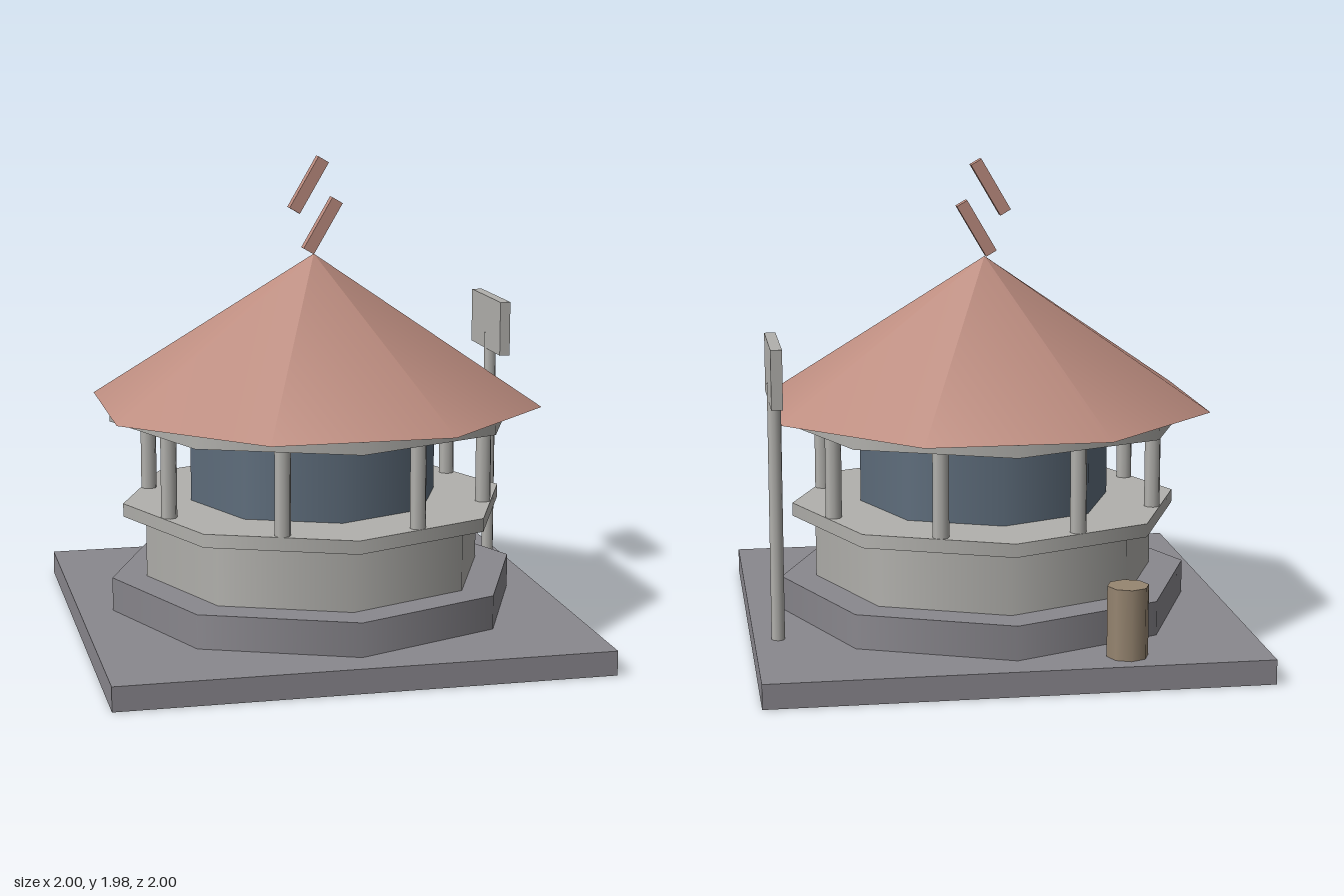
import * as THREE from 'three';

function mat(name, color) {
  const m = new THREE.MeshStandardMaterial({ color });
  m.name = name;
  return m;
}

export function createModel() {
  const root = new THREE.Group();
  root.name = 'pavilion';

  const paving = mat('paving grey', 0x8a888e);
  const stone = mat('pale stone', 0xb2b1ad);
  const glass = mat('blue grey glass', 0x5f6e7d);
  const tile = mat('terracotta', 0xbd8d80);
  const wood = mat('barrel brown', 0x978671);

  const add = (name, geometry, material, x, y, z, parent = root) => {
    const mesh = new THREE.Mesh(geometry, material);
    mesh.name = name;
    mesh.position.set(x, y, z);
    parent.add(mesh);
    return mesh;
  };
  // Eight-sided drum between two heights
  const drum = (name, r, y0, y1, material, x = 0, z = 0, parent = root) =>
    add(name, new THREE.CylinderGeometry(r, r, y1 - y0, 8), material, x, (y0 + y1) / 2, z, parent);

  // Stacked octagonal body on a square slab
  add('groundSlab', new THREE.BoxGeometry(2, 0.1, 2), paving, 0, 0.05, 0);
  drum('plinth', 0.86, 0.1, 0.24, paving);
  drum('lowerWall', 0.715, 0.24, 0.5, stone);
  drum('counter', 0.81, 0.5, 0.555, stone);
  drum('windowBand', 0.525, 0.555, 0.885, glass);
  drum('eavesRing', 0.86, 0.905, 0.96, stone);

  // Posts between counter and eaves, at the middle of each side
  const posts = new THREE.Group();
  posts.name = 'posts';
  root.add(posts);
  for (let i = 0; i < 8; i++) {
    const a = (i + 0.5) * Math.PI / 4;
    drum('post', 0.033, 0.555, 0.905, stone, 0.715 * Math.sin(a), 0.715 * Math.cos(a), posts);
  }

  // Roof, turned half a side against the body
  const roof = add('roof', new THREE.ConeGeometry(0.952, 0.615, 8), tile, 0, 1.2675, 0);
  roof.rotation.y = Math.PI / 8;

  // Two slanted bars above the peak
  for (const [x, y] of [[0.035, 1.692], [-0.024, 1.861]]) {
    const bar = add('finialBar', new THREE.BoxGeometry(0.05, 0.242, 0.047), tile, x, y, 0);
    bar.rotation.z = -0.53;
  }

  // Sign on a pole
  const sign = new THREE.Group();
  sign.name = 'sign';
  root.add(sign);
  drum('signPole', 0.027, 0.1, 1.145, stone, 0.903, -0.43, sign);
  add('signBoard', new THREE.BoxGeometry(0.045, 0.235, 0.425), stone, 0.903, 1.193, -0.428, sign);

  // Barrel in the back corner
  drum('barrel', 0.083, 0.1, 0.385, wood, -0.435, -0.855);

  return root;
}
